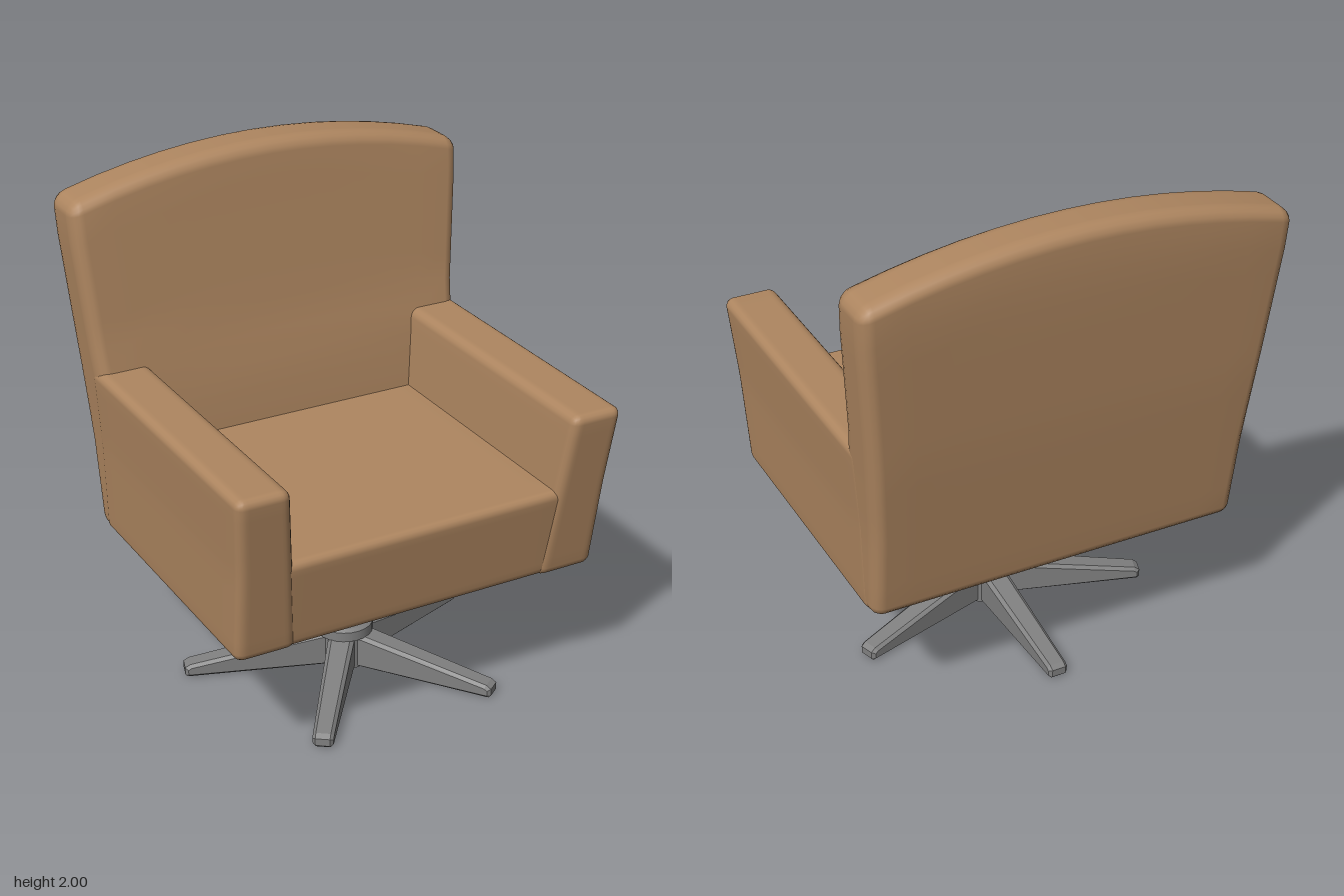
import * as THREE from 'three';
import { mergeVertices } from 'three/addons/utils/BufferGeometryUtils.js';

const leather = new THREE.MeshStandardMaterial({ color: 0xae8660 });
leather.name = 'tan leather';
const metal = new THREE.MeshStandardMaterial({ color: 0x808080 });
metal.name = 'grey metal';

const lerp = THREE.MathUtils.lerp;

// Piecewise-linear lookup through [input, output] pairs
function ramp(points, v) {
  let i = 1;
  while (i < points.length - 1 && v > points[i][0]) i++;
  const [a, b] = [points[i - 1], points[i]];
  return lerp(a[1], b[1], THREE.MathUtils.clamp((v - a[0]) / (b[0] - a[0]), 0, 1));
}

// Soft-edged block; warp maps coordinates in -1..1 to final positions
function cushion(name, half, r, warp) {
  const N = 16, B = 2;
  const geo = new THREE.BoxGeometry(1, 1, 1, N, N, N);
  geo.deleteAttribute('uv');
  geo.deleteAttribute('normal');
  const pos = geo.attributes.position;
  const place = (v, h) => {
    const i = Math.round((v + 0.5) * N), k = Math.min(i, N - i);
    if (k >= B) return lerp(-(h - r), h - r, (i - B) / (N - 2 * B));
    return Math.sign(v) * (h - r + r * Math.tan(((B - k) / B) * Math.PI / 4));
  };
  const h = new THREE.Vector3(...half);
  const inner = h.clone().subScalar(r);
  const low = inner.clone().negate();
  for (let i = 0; i < pos.count; i++) {
    const p = new THREE.Vector3(place(pos.getX(i), h.x), place(pos.getY(i), h.y), place(pos.getZ(i), h.z));
    const c = p.clone().clamp(low, inner);
    p.sub(c).setLength(r).add(c).divide(h);
    pos.setXYZ(i, ...warp(p.x, p.y, p.z));
  }
  const merged = mergeVertices(geo, 1e-5);
  merged.computeVertexNormals();
  const mesh = new THREE.Mesh(merged, leather);
  mesh.name = name;
  return mesh;
}

// Raked front face shared by the arms and the seat
const frontZ = (y) => 0.64 + (y - 0.52) * 0.145;

function backrest() {
  const width = [[0.52, 0.758], [0.9, 0.768], [1.22, 0.79], [1.78, 0.837], [2, 0.837]];
  const rear = [[0.52, -0.58], [1.22, -0.675], [1.8, -0.733], [2, -0.738]];
  const front = [[0.52, -0.38], [0.9, -0.4], [1.2, -0.43], [1.28, -0.453], [1.9, -0.521], [2, -0.528]];
  return cushion('backrest', [0.8, 0.74, 0.1], 0.05, (a, b, c) => {
    const y = 0.52 + (b + 1) / 2 * (1.48 - 0.125 * a * a);
    return [a * ramp(width, y), y, lerp(ramp(rear, y), ramp(front, y), (c + 1) / 2)];
  });
}

function arm(side) {
  const outer = [[0.52, 0.76], [0.9, 0.77], [1.22, 0.792]];
  const inside = [[0.52, 0.515], [0.9, 0.55], [1.22, 0.58]];
  return cushion(side > 0 ? 'leftArm' : 'rightArm', [0.11, 0.35, 0.6], 0.035, (a, b, c) => {
    const y = 0.52 + (b + 1) / 2 * 0.7;
    const x = lerp(ramp(inside, y), ramp(outer, y), (side * a + 1) / 2);
    return [side * x, y, lerp(-0.53, frontZ(y), (c + 1) / 2)];
  });
}

function seat() {
  return cushion('seat', [0.6, 0.19, 0.6], 0.035, (a, b, c) => {
    const y = 0.522 + (b + 1) / 2 * 0.378;
    return [a * 0.61, y, lerp(-0.5, frontZ(y) - 0.008, (c + 1) / 2)];
  });
}

// Tapered star leg with chamfered edges, running along +x from the hub
function legGeometry() {
  const shape = new THREE.Shape([
    [0, 0], [0.635, 0], [0.645, 0.01], [0.645, 0.04], [0.625, 0.053], [0.1, 0.143], [0, 0.143],
  ].map(([x, y]) => new THREE.Vector2(x, y)));
  const bevel = 0.012;
  const geo = new THREE.ExtrudeGeometry(shape, {
    depth: 0.08 - 2 * bevel, bevelThickness: bevel, bevelSize: bevel, bevelOffset: -bevel, bevelSegments: 1,
  });
  geo.translate(0, 0, bevel - 0.04);
  const pos = geo.attributes.position;
  for (let i = 0; i < pos.count; i++) {
    pos.setZ(i, pos.getZ(i) * (1.35 - 0.35 * pos.getX(i) / 0.645));
  }
  geo.computeVertexNormals();
  return geo;
}

function swivelBase() {
  const base = new THREE.Group();
  base.name = 'swivelBase';
  base.position.z = 0.05;

  const disc = (name, top, bottom, y0, y1, sides) => {
    const geo = new THREE.CylinderGeometry(top, bottom, y1 - y0, sides, 1, false, Math.PI / 2);
    const mesh = new THREE.Mesh(geo, metal);
    mesh.position.y = (y0 + y1) / 2;
    mesh.name = name;
    base.add(mesh);
  };
  disc('hubCore', 0.1, 0.1, 0.003, 0.145, 20);
  disc('collar', 0.115, 0.115, 0.14, 0.18, 24);
  disc('collarBevel', 0.1, 0.115, 0.18, 0.19, 24);
  disc('column', 0.075, 0.075, 0.18, 0.5, 24);
  disc('mountCone', 0.3, 0.075, 0.475, 0.508, 10);
  disc('mountRim', 0.3, 0.3, 0.508, 0.53, 10);

  // Five legs, one pointing straight back
  const geo = legGeometry();
  for (let i = 0; i < 5; i++) {
    const leg = new THREE.Mesh(geo, metal);
    leg.rotation.y = Math.PI / 2 + i * Math.PI * 2 / 5;
    leg.name = 'leg' + (i + 1);
    base.add(leg);
  }
  return base;
}

export function createModel() {
  const chair = new THREE.Group();
  chair.name = 'swivelArmchair';
  chair.add(seat(), arm(1), arm(-1), backrest(), swivelBase());
  return chair;
}
